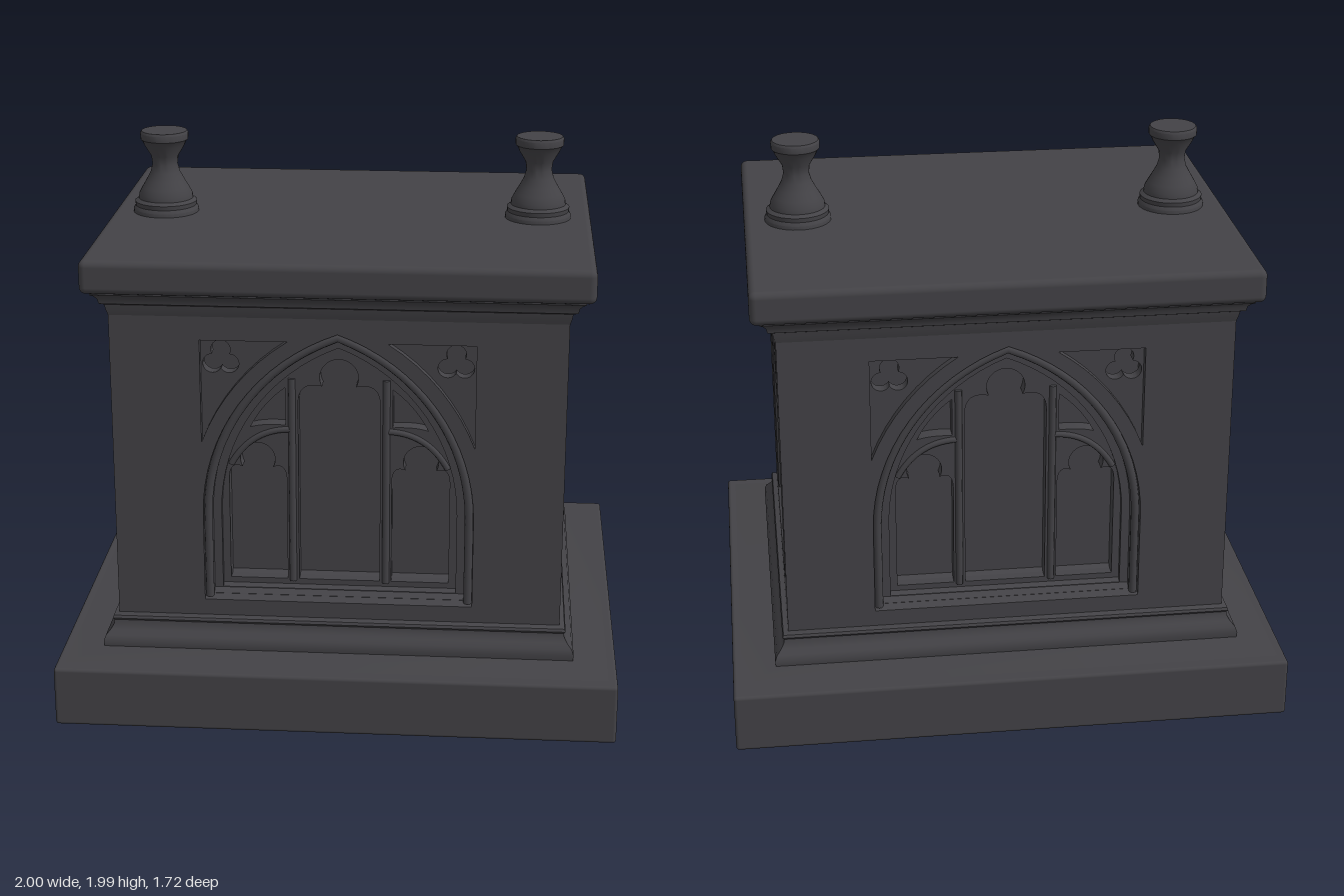
import * as THREE from 'three';
import { toCreasedNormals } from 'three/addons/utils/BufferGeometryUtils.js';
import { RoundedBoxGeometry } from 'three/addons/geometries/RoundedBoxGeometry.js';

const stone = new THREE.MeshStandardMaterial({ color: 0x434246 });
const HX = 0.795, HZ = 0.64;          // body half sizes
const DEPTH = 0.125;                  // depth of the window recesses
const SPRING = 0.74, RISE = 0.68, SILL = 0.41;

function add(parent, name, geometry, x = 0, y = 0, z = 0) {
  const mesh = new THREE.Mesh(geometry, stone);
  mesh.name = name;
  mesh.position.set(x, y, z);
  parent.add(mesh);
  return mesh;
}

// Extrudes a shape so that its front lies at z = front and its back at z = back.
function plate(shape, front, back) {
  const g = new THREE.ExtrudeGeometry(shape, { depth: front - back, bevelEnabled: false, curveSegments: 14 });
  return toCreasedNormals(g.translate(0, 0, back), 0.6);
}

// Sweeps a moulding profile of [offset, y] points round the rectangular body.
function moulding(profile) {
  const corners = [[1, 1], [1, -1], [-1, -1], [-1, 1]];
  const at = ([o, y], [sx, sz]) => [sx * (HX + o), y, sz * (HZ + o)];
  const pos = [];
  for (let i = 0; i < profile.length - 1; i++) {
    corners.forEach((c, k) => {
      const n = corners[(k + 1) % 4];
      const a = at(profile[i], c), b = at(profile[i], n);
      const d = at(profile[i + 1], c), e = at(profile[i + 1], n);
      pos.push(...a, ...b, ...e, ...a, ...e, ...d);
    });
  }
  const g = new THREE.BufferGeometry();
  g.setAttribute('position', new THREE.Float32BufferAttribute(pos, 3));
  g.computeVertexNormals();
  return toCreasedNormals(g, 0.7);
}

// Points of a pointed arch of half width w, inset by d, from lower right round to lower left.
function archPoints(w, d) {
  const R = (w * w + RISE * RISE) / (2 * w), cx = R - w, r = R - d;
  const end = Math.acos(cx / r), half = [[w - d, SILL + d * 0.5]];
  for (let i = 0; i <= 16; i++) {
    const t = end * i / 16;
    half.push([r * Math.cos(t) - cx, SPRING + r * Math.sin(t)]);
  }
  const left = half.slice(0, -1).reverse().map(([x, y]) => [-x, y]);
  return [...half, ...left].map(([x, y]) => new THREE.Vector2(x, y));
}

// A window light with a cusped round head.
function lightHole(cx, a, y0, ys, cy, r) {
  const p = new THREE.Path(), t = 0.5;
  const px = r * Math.cos(t), py = cy - r * Math.sin(t);
  p.moveTo(cx - a, y0);
  p.lineTo(cx + a, y0);
  p.lineTo(cx + a, ys);
  p.quadraticCurveTo(cx + a, py + 0.02, cx + px, py);
  p.absarc(cx, cy, r, -t, Math.PI + t, false);
  p.quadraticCurveTo(cx - a, py + 0.02, cx - a, ys);
  p.closePath();
  return p;
}

// The eye between a side light and the main arch.
function eyeHole(m, s) {
  const p = new THREE.Path();
  p.moveTo(m * 0.19 * s, 1.06);
  p.lineTo(m * 0.19 * s, 1.2);
  p.quadraticCurveTo(m * 0.27 * s, 1.14, m * 0.315 * s, 1.05);
  p.quadraticCurveTo(m * 0.27 * s, 1.065, m * 0.19 * s, 1.06);
  return p;
}

// Three-cornered field between the arch and the square frame; m mirrors it.
function spandrelPoints(w, m) {
  const R = (w * w + RISE * RISE) / (2 * w), cx = R - w, r = R + 0.05, top = 1.39;
  const t0 = Math.acos((w + cx) / r), t1 = Math.asin((top - SPRING) / r);
  const pts = [new THREE.Vector2(m * w, top)];
  for (let i = 0; i <= 8; i++) {
    const t = t1 + (t0 - t1) * i / 8;
    pts.push(new THREE.Vector2(m * (r * Math.cos(t) - cx), SPRING + r * Math.sin(t)));
  }
  return pts;
}

function trefoilHole(x, y, r) {
  const p = new THREE.Path();
  for (let k = 0; k < 3; k++) {
    const a = Math.PI / 2 + k * Math.PI * 2 / 3, h = Math.PI * 2 / 3 - 0.05;
    p.absarc(x + r * Math.cos(a), y + r * Math.sin(a), r, a - h, a + h, false);
  }
  p.closePath();
  return p;
}

// One traceried wall facing +z, its outer surface at z = 0.
function wall(halfWidth, w) {
  const group = new THREE.Group(), s = w / 0.48;

  const panel = new THREE.Shape([[-1, 0.25], [1, 0.25], [1, 1.55], [-1, 1.55]]
    .map(([x, y]) => new THREE.Vector2(x * halfWidth, y)));
  panel.holes.push(new THREE.Path(archPoints(w, 0)));
  for (const m of [-1, 1]) panel.holes.push(new THREE.Path(spandrelPoints(w, m)));
  add(group, 'wallPanel', plate(panel, 0, -DEPTH));

  // stepped arch surround
  [[0, 0.03, -0.025], [0.03, 0.06, -0.05]].forEach(([d0, d1, z]) => {
    const ring = new THREE.Shape(archPoints(w, d0));
    ring.holes.push(new THREE.Path(archPoints(w, d1)));
    add(group, 'archStep', plate(ring, z, -DEPTH));
  });

  // round rib following the arch
  const path = new THREE.CurvePath();
  const rib = archPoints(w, 0.016).map(v => new THREE.Vector3(v.x, v.y, -0.018));
  for (let i = 0; i < rib.length - 1; i++) path.add(new THREE.LineCurve3(rib[i], rib[i + 1]));
  add(group, 'archRib', new THREE.TubeGeometry(path, 80, 0.015, 8));

  // sloping sill
  const wedge = new THREE.Shape([[0, SILL], [-DEPTH, 0.48], [-DEPTH, SILL]].map(([x, y]) => new THREE.Vector2(x, y)));
  const sill = new THREE.ExtrudeGeometry(wedge, { depth: 2 * w, bevelEnabled: false });
  add(group, 'sill', sill.rotateY(-Math.PI / 2), w);

  // three lights and two eyes, with ribs on the mullions and over the side lights
  const tracery = new THREE.Shape(archPoints(w, 0.05));
  tracery.holes.push(lightHole(0, 0.145 * s, 0.47, 1.14, 1.24, 0.068 * s));
  for (const m of [-1, 1]) {
    tracery.holes.push(lightHole(m * 0.29 * s, 0.103 * s, 0.47, 0.85, 0.93, 0.062 * s));
    tracery.holes.push(eyeHole(m, s));
    add(group, 'mullionRib', new THREE.CylinderGeometry(0.013, 0.013, 0.77, 8), m * 0.167 * s, 0.85, -0.068);
    const hood = new THREE.QuadraticBezierCurve3(new THREE.Vector3(m * 0.17 * s, 1.045, -0.068),
      new THREE.Vector3(m * 0.31 * s, 1.045, -0.068), new THREE.Vector3(m * 0.385 * s, 0.91, -0.068));
    add(group, 'sideLightRib', new THREE.TubeGeometry(hood, 14, 0.011, 8));
  }
  add(group, 'tracery', plate(tracery, -0.07, -DEPTH));

  // spandrel trefoils
  for (const m of [-1, 1]) {
    const field = new THREE.Shape(spandrelPoints(w, m));
    field.holes.push(trefoilHole(m * (w - 0.07), 1.315, 0.034 * s));
    add(group, 'spandrelTrefoil', plate(field, -0.03, -0.075));
  }
  return group;
}

export function createModel() {
  const model = new THREE.Group();
  model.name = 'stonePedestal';

  // plinth and base mouldings
  add(model, 'plinth', new RoundedBoxGeometry(2, 0.22, 1.72, 3, 0.012), 0, 0.11, 0);
  add(model, 'baseMoulding', moulding([[0.19, 0.218], [0.05, 0.235], [0.052, 0.255], [0.045, 0.275], [0.028, 0.293],
    [0.018, 0.31], [0.016, 0.325], [0.022, 0.333], [0.018, 0.343], [0, 0.35]]));

  // body core and its four walls
  add(model, 'bodyCore', new THREE.BoxGeometry(2 * (HX - DEPTH), 1.4, 2 * (HZ - DEPTH)), 0, 0.9, 0);
  ['frontWall', 'leftWall', 'backWall', 'rightWall'].forEach((name, k) => {
    const side = k % 2 === 1, dist = side ? HX : HZ, a = k * Math.PI / 2;
    const face = side ? wall(HZ - DEPTH, 0.4) : wall(HX, 0.48);
    face.name = name;
    face.rotation.y = a;
    face.position.set(Math.sin(a) * dist, 0, Math.cos(a) * dist);
    model.add(face);
  });

  // cornice and top slab
  add(model, 'cornice', moulding([[0, 1.475], [0.006, 1.495], [0.01, 1.515], [0.026, 1.522], [0.03, 1.54],
    [0.04, 1.552], [0.052, 1.56], [0.054, 1.58]]));
  add(model, 'topSlab', new RoundedBoxGeometry(1.76, 0.12, 1.44, 4, 0.024), 0, 1.627, 0);

  // turned finials
  const profile = [[0.12, 1.68], [0.12, 1.7], [0.112, 1.712], [0.114, 1.728], [0.1, 1.738], [0.098, 1.755],
    [0.086, 1.778], [0.07, 1.805], [0.054, 1.835], [0.046, 1.865], [0.05, 1.895], [0.074, 1.935], [0.08, 1.95],
    [0.087, 1.957], [0.088, 1.98], [0.083, 1.988], [0, 1.988]].map(([r, y]) => new THREE.Vector2(r, y));
  for (const x of [-0.685, 0.685]) {
    add(model, 'finial', toCreasedNormals(new THREE.LatheGeometry(profile, 32), 0.6), x, 0, 0);
  }
  return model;
}
